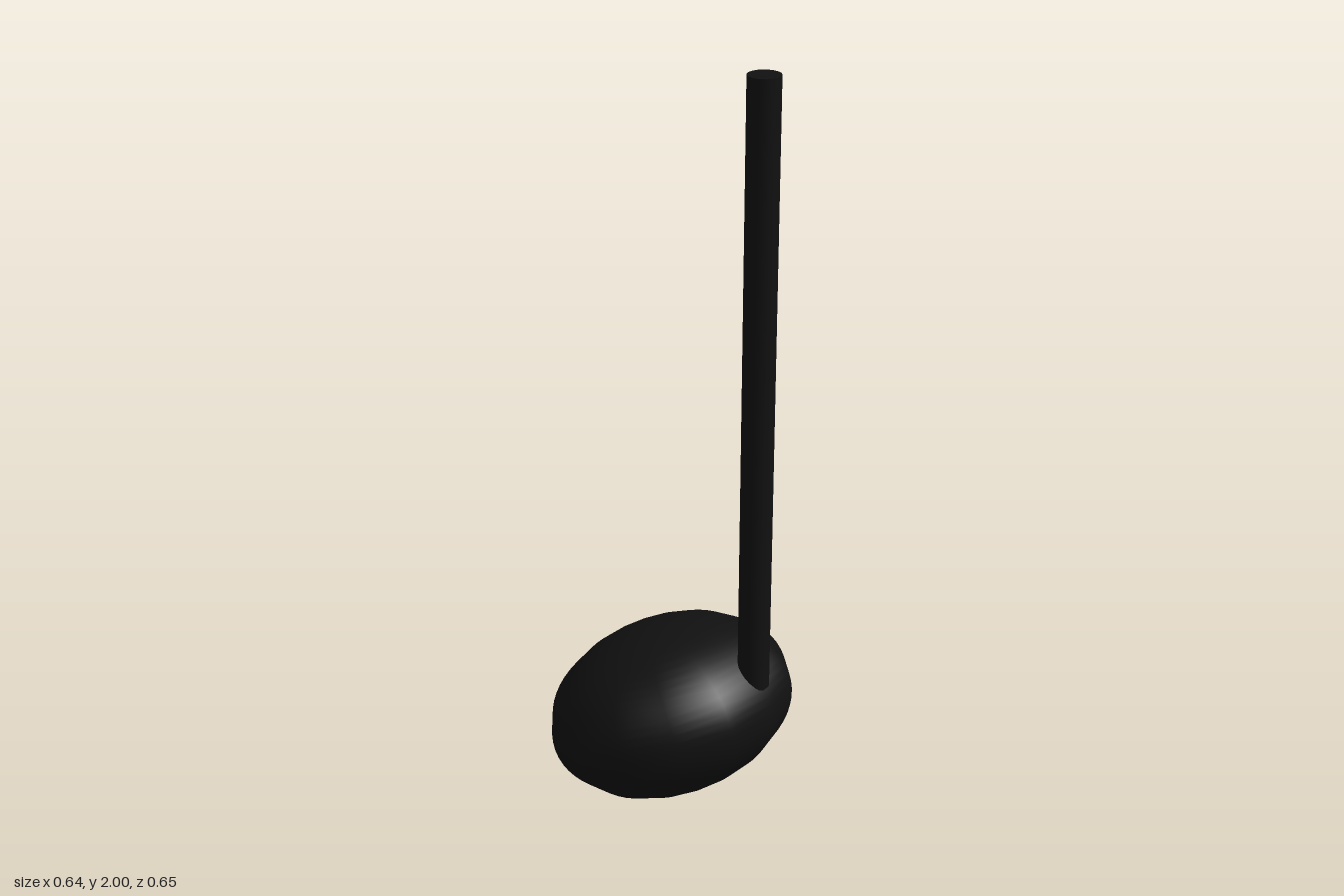
import * as THREE from 'three';

export function createModel() {
  const group = new THREE.Group();
  const black = new THREE.MeshStandardMaterial({ color: 0x111111 });

  // Note head: flattened sphere with 14 sides, tilted up towards +x
  const head = new THREE.Mesh(new THREE.SphereGeometry(0.333, 14, 32), black);
  head.name = 'noteHead';
  head.scale.y = 0.68;
  head.rotation.z = 0.39;
  head.position.y = 0.245;
  group.add(head);

  // Stem: round rod rising from inside the head
  const bottom = 0.3, top = 2;
  const stem = new THREE.Mesh(new THREE.CylinderGeometry(0.041, 0.041, top - bottom, 20), black);
  stem.name = 'stem';
  stem.position.set(0.256, (top + bottom) / 2, 0);
  group.add(stem);

  return group;
}
